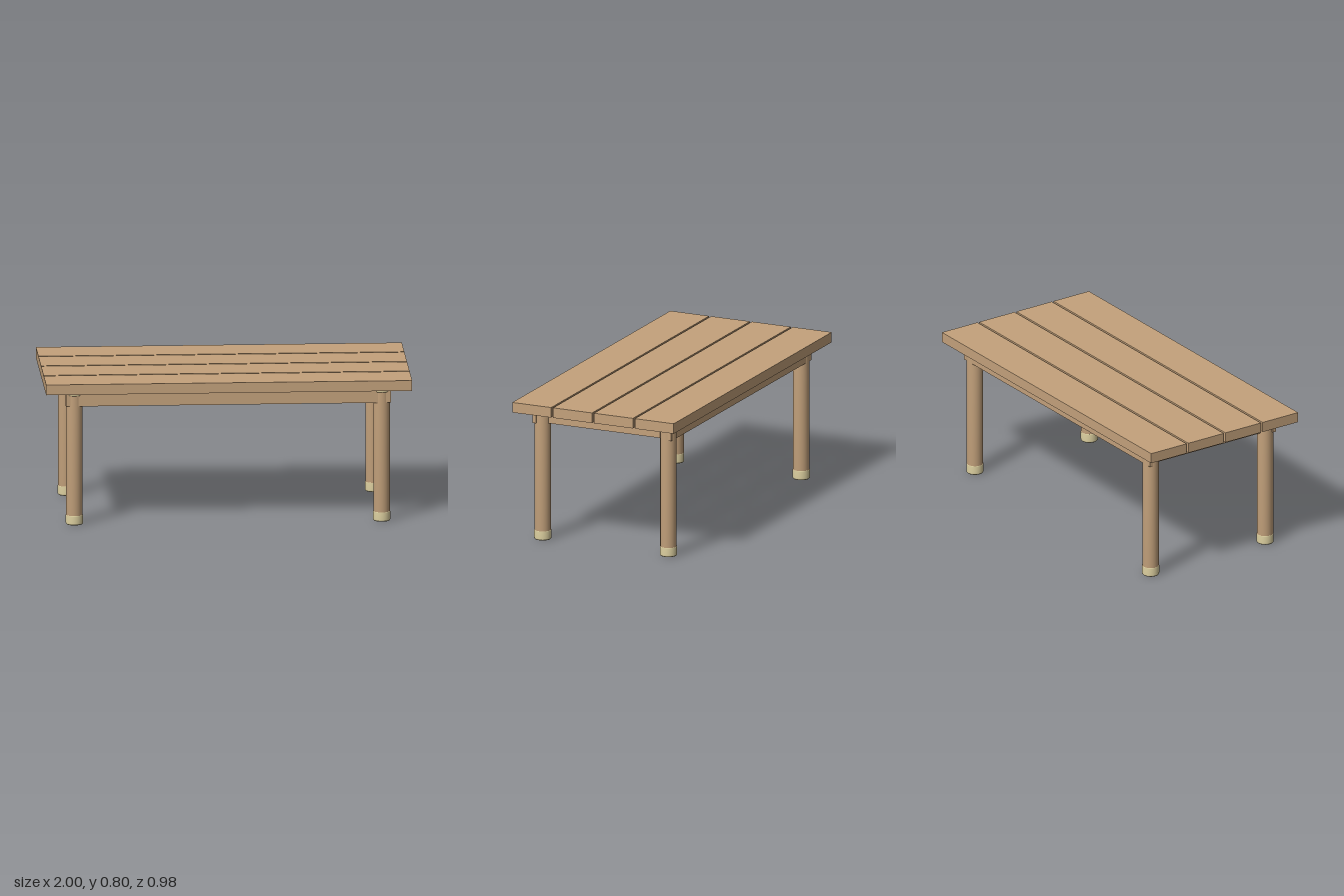
import * as THREE from 'three';

const wood = new THREE.MeshStandardMaterial({ color: 0xc4a27c });
const cream = new THREE.MeshStandardMaterial({ color: 0xdccf9f });

function add(parent, name, geometry, material, x, y, z) {
  const mesh = new THREE.Mesh(geometry, material);
  mesh.name = name;
  mesh.position.set(x, y, z);
  parent.add(mesh);
  return mesh;
}

// Turned part from [radius, height] pairs
const turned = (points) =>
  new THREE.LatheGeometry(points.map(([r, y]) => new THREE.Vector2(r, y)), 32);

export function createModel() {
  const table = new THREE.Group();
  table.name = 'table';

  // Table top: four planks with narrow gaps
  const plank = new THREE.BoxGeometry(2, 0.057, 0.235);
  for (let i = 0; i < 4; i++) {
    add(table, 'plank', plank, wood, 0, 0.7715, (i - 1.5) * 0.247);
  }

  // Apron: long rails pass through the legs off-centre, end rails join the legs
  const longRail = new THREE.BoxGeometry(1.776, 0.08, 0.021);
  const endRail = new THREE.BoxGeometry(0.033, 0.08, 0.72);
  for (const s of [-1, 1]) {
    add(table, 'longRail', longRail, wood, 0, 0.703, s * 0.4085);
    add(table, 'endRail', endRail, wood, s * 0.84, 0.703, 0);
  }

  // Legs: round post, pale foot and pale collar
  const post = turned([[0, 0.02], [0.045, 0.02], [0.045, 0.73]]);
  const foot = turned([[0, 0], [0.043, 0], [0.0465, 0.004], [0.047, 0.01],
    [0.047, 0.05], [0.045, 0.052]]);
  const collar = turned([[0.044, 0.722], [0.048, 0.722], [0.05, 0.727],
    [0.05, 0.743], [0, 0.743]]);
  for (const x of [-0.84, 0.84]) {
    for (const z of [-0.38, 0.38]) {
      const leg = new THREE.Group();
      leg.name = 'leg';
      leg.position.set(x, 0, z);
      add(leg, 'post', post, wood, 0, 0, 0);
      add(leg, 'foot', foot, cream, 0, 0, 0);
      add(leg, 'collar', collar, cream, 0, 0, 0);
      table.add(leg);
    }
  }
  return table;
}
